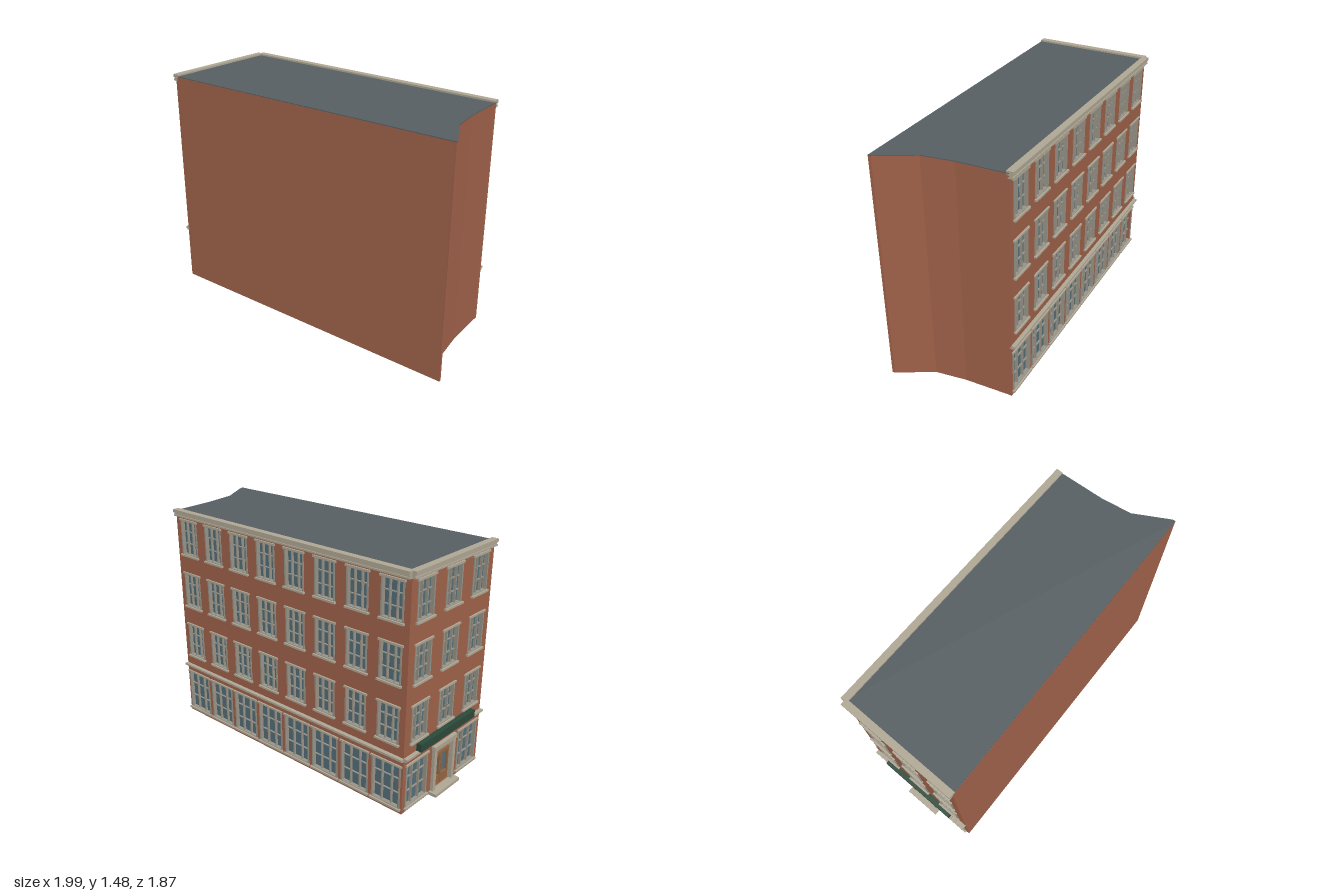
import * as THREE from 'three';
import { mergeGeometries } from 'three/addons/utils/BufferGeometryUtils.js';

const mat = (color) => new THREE.MeshStandardMaterial({ color });
const BRICK = mat(0xa0624a), STONE = mat(0xb0a895), FRAME = mat(0x99958a), GLASS = mat(0x556e77);
const ROOF = mat(0x565f63), WOOD = mat(0x946744), GREEN = mat(0x2c4a3a);
const H = 1.465, T = 0.03; // wall height, facade thickness

// Footprint corners as [x, z]
const A = [-0.98, -0.314], B = [-0.482, -0.917], C = [0.98, 0.255];
const REAR = [[0.8, 0.5], [0.7, 0.67], [0.66, 0.915], [0.65, 0.93], [0.64, 0.922]];

function box(w, h, d, x, y, z) {
  return new THREE.BoxGeometry(w, h, d).translate(x, y, z);
}

function mesh(name, geometry, material) {
  const m = new THREE.Mesh(geometry, material);
  m.name = name;
  return m;
}

function prism(points, y0, y1) {
  const shape = new THREE.Shape(points.map(([x, z]) => new THREE.Vector2(x, -z)));
  return new THREE.ExtrudeGeometry(shape, { depth: y1 - y0, bevelEnabled: false })
    .rotateX(-Math.PI / 2).translate(0, y0, 0);
}

// Recessed pane with glazing bars, casing, lintel and sill
function windowUnit(o) {
  const g = new THREE.Group();
  g.name = 'window';
  const { x, y0, y1, w } = o, h = y1 - y0, yc = (y0 + y1) / 2, t = 0.01;
  g.add(mesh('glass', box(w, h, 0.006, x, yc, -0.024), GLASS));
  const bars = [];
  for (const s of [-1, 1]) bars.push(box(t, h, 0.03, x + s * (w - t) / 2, yc, -0.01));
  for (const k of [1, 2]) {
    bars.push(box(0.007, h, 0.018, x - w / 2 + (w * k) / 3, yc, -0.014));
    bars.push(box(w, 0.005, 0.012, x, y0 + (h * k) / 3, -0.017));
  }
  bars.push(box(w, t, 0.03, x, y1 - t / 2, -0.01), box(w, t, 0.03, x, y0 + t / 2, -0.01));
  g.add(mesh('casing', mergeGeometries(bars), FRAME));
  g.add(mesh('lintelAndSill', mergeGeometries([
    box(w + 0.016, 0.012, 0.026, x, y1, -0.003),
    box(w + 0.016, 0.012, 0.032, x, y0, 0)
  ]), STONE));
  return g;
}

// Double door with transom, stone surround and step
function entrance(o) {
  const g = new THREE.Group();
  g.name = 'entrance';
  const { x, y0, y1, w } = o, mid = 0.24;
  g.add(mesh('doorGlass', box(w, y1 - y0, 0.006, x, (y0 + y1) / 2, -0.024), GLASS));
  const wood = [box(w, 0.014, 0.02, x, mid, -0.014)];
  for (const s of [-1, 1]) {
    const cx = x + (s * w) / 4, lw = w / 2 - 0.004;
    for (const e of [-1, 1])
      wood.push(box(0.013, mid - y0, 0.016, cx + e * (lw / 2 - 0.0065), (mid + y0) / 2, -0.016));
    wood.push(box(lw, 0.06, 0.016, cx, y0 + 0.03, -0.016));
    wood.push(box(lw, 0.013, 0.016, cx, mid - 0.012, -0.016));
  }
  g.add(mesh('doorLeaves', mergeGeometries(wood), WOOD));
  const stone = [box(w + 0.06, 0.03, 0.045, x, y1 + 0.012, 0.0025)];
  for (const s of [-1, 1])
    stone.push(box(0.026, y1, 0.04, x + s * (w / 2 + 0.011), y1 / 2, 0));
  g.add(mesh('doorSurround', mergeGeometries(stone), STONE));
  g.add(mesh('doorStep', box(0.25, 0.02, 0.055, x, 0.01, 0.0275), STONE));
  return g;
}

// Decorated wall from P to Q; local x runs along it and local z points outward
function facade(name, P, Q, columns, hasDoor) {
  const g = new THREE.Group();
  g.name = name;
  const dx = Q[0] - P[0], dz = Q[1] - P[1], L = Math.hypot(dx, dz);
  g.position.set(P[0], 0, P[1]);
  g.rotation.y = Math.atan2(-dz, dx);

  const openings = [];
  for (let i = 0; i < columns; i++) {
    const x = ((i + 0.5) * L) / columns;
    for (const y of [0.445, 0.812, 1.175]) openings.push({ x, y0: y, y1: y + 0.238, w: 0.152 });
    if (hasDoor && i === 1) openings.push({ x, y0: 0.02, y1: 0.3, w: 0.17, door: true });
    else openings.push({ x, y0: 0.028, y1: 0.315, w: 0.206 });
  }

  const wall = new THREE.Shape();
  wall.moveTo(0, 0).lineTo(L, 0).lineTo(L, H - 0.005).lineTo(0, H - 0.005).closePath();
  for (const { x, y0, y1, w } of openings) {
    const hole = new THREE.Path();
    hole.moveTo(x - w / 2, y0).lineTo(x - w / 2, y1).lineTo(x + w / 2, y1).lineTo(x + w / 2, y0).closePath();
    wall.holes.push(hole);
  }
  g.add(mesh('brickFace',
    new THREE.ExtrudeGeometry(wall, { depth: T, bevelEnabled: false }).translate(0, 0, -T), BRICK));
  for (const o of openings) g.add(o.door ? entrance(o) : windowUnit(o));

  // Stepped cornice and belt course
  const band = (y0, y1, out, back) =>
    box(L, y1 - y0, out + back, L / 2, (y0 + y1) / 2, (out - back) / 2);
  g.add(mesh('cornice', mergeGeometries([
    band(1.455, 1.476, 0.025, 0.018), band(1.443, 1.455, 0.016, 0.01), band(1.433, 1.443, 0.022, 0.01)
  ]), STONE));
  g.add(mesh('beltCourse', mergeGeometries([
    band(0.363, 0.376, 0.025, 0.01), band(0.354, 0.363, 0.014, 0.01)
  ]), STONE));
  if (hasDoor) g.add(mesh('signBoard', box(0.55, 0.05, 0.036, L / 2, 0.4, 0.018), GREEN));
  return g;
}

export function createModel() {
  const group = new THREE.Group();
  group.name = 'cornerBuilding';

  // Plain core, set back behind the two decorated walls
  const outward = (P, Q) => {
    const dx = Q[0] - P[0], dz = Q[1] - P[1], L = Math.hypot(dx, dz);
    return [-dz / L, dx / L];
  };
  const nLong = outward(C, B), nShort = outward(B, A);
  const inset = (p, ...normals) =>
    normals.reduce((q, n) => [q[0] - T * n[0], q[1] - T * n[1]], p);
  const core = [inset(A, nShort), inset(B, nLong, nShort), inset(C, nLong), ...REAR];
  group.add(mesh('brickCore', prism(core, 0, H - 0.005), BRICK));
  group.add(mesh('roof', prism([A, B, C, ...REAR], H - 0.005, H), ROOF));

  group.add(facade('longFacade', C, B, 8, false));
  group.add(facade('entranceFacade', B, A, 3, true));
  return group;
}
